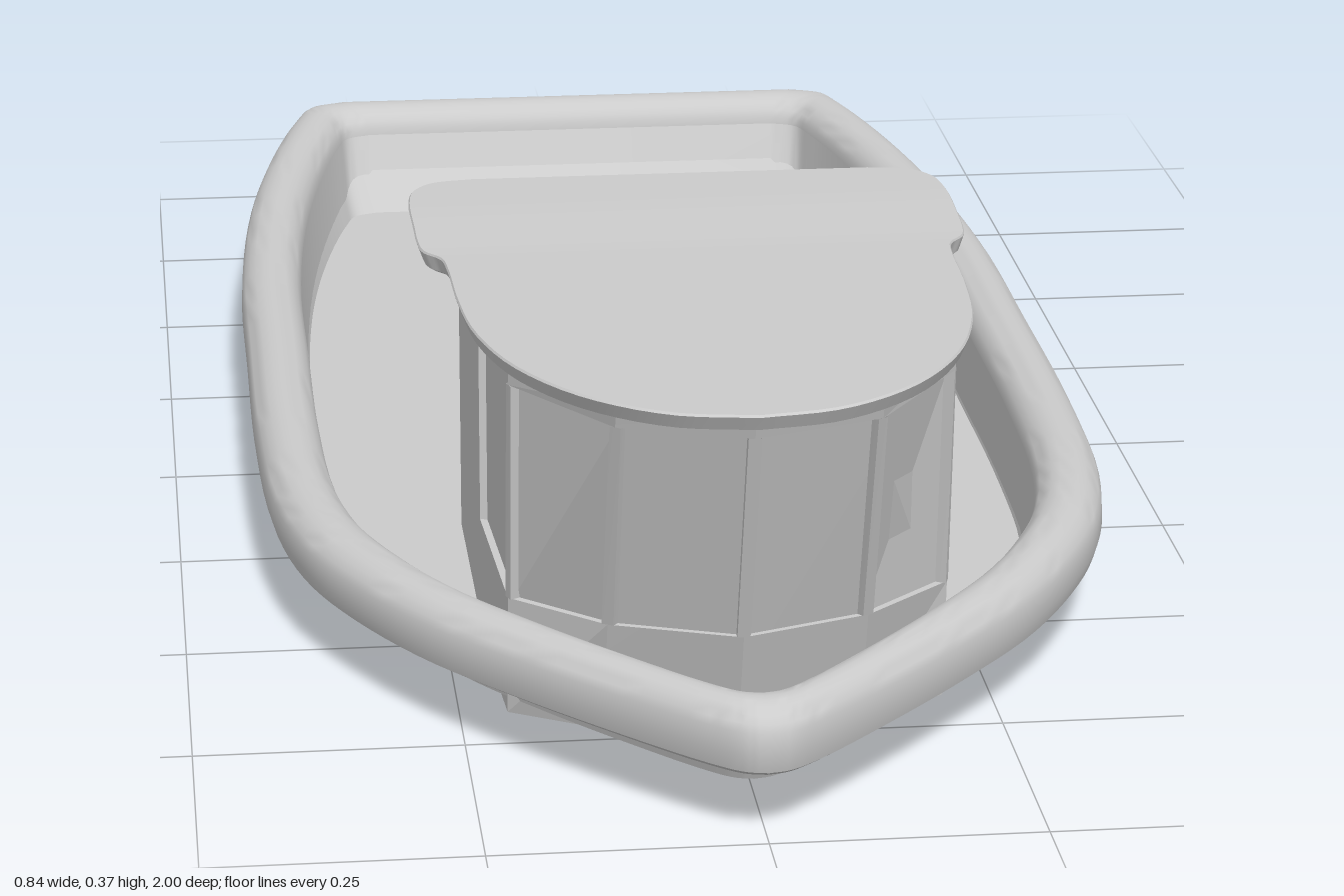
import * as THREE from 'three';
import { toCreasedNormals } from 'three/addons/utils/BufferGeometryUtils.js';

const material = new THREE.MeshStandardMaterial({ color: 0xcccccc, side: THREE.DoubleSide });
const V = (x, y, z) => new THREE.Vector3(x, y, z);

// Mesh from a list of triangles, smooth except at sharp edges
function meshFrom(name, tris, crease = 0.55) {
  const pos = [];
  for (const [a, b, c] of tris) {
    const area = b.clone().sub(a).cross(c.clone().sub(a)).length();
    if (area > 1e-9) for (const p of [a, b, c]) pos.push(p.x, p.y, p.z);
  }
  const geo = new THREE.BufferGeometry();
  geo.setAttribute('position', new THREE.Float32BufferAttribute(pos, 3));
  const mesh = new THREE.Mesh(toCreasedNormals(geo, crease), material);
  mesh.name = name;
  return mesh;
}

// Skin between closed rings that run clockwise seen from above
function loft(rings) {
  const tris = [];
  for (let r = 0; r + 1 < rings.length; r++) {
    const lo = rings[r], hi = rings[r + 1], n = lo.length;
    for (let i = 0; i < n; i++) {
      const j = (i + 1) % n;
      tris.push([lo[i], hi[i], lo[j]], [lo[j], hi[i], hi[j]]);
    }
  }
  return tris;
}

// Closed symmetric ring from a half outline [x, z] running back to front
function mirrorRing(half, fn) {
  const right = half.map(([x, z]) => fn(x, z));
  const left = half.slice(1, -1).reverse().map(([x, z]) => fn(-x, z));
  return [...right, ...left];
}

// Flat strips joining the two sides of a mirrored ring
function cap(ring, count, up) {
  const tris = [];
  const L = i => (i === 0 || i === count - 1 ? ring[i] : ring[ring.length - i]);
  for (let i = 0; i + 1 < count; i++) {
    const a = L(i), b = ring[i], c = L(i + 1), d = ring[i + 1];
    if (up) tris.push([a, c, b], [b, c, d]);
    else tris.push([a, b, c], [b, d, c]);
  }
  return tris;
}

function smoothHalf(points, start, divisions) {
  const curve = new THREE.CatmullRomCurve3(points.map(([x, z]) => V(x, 0, z)), false, 'centripetal');
  const half = curve.getPoints(divisions).map(p => [Math.max(0, p.x), p.z]);
  return [start, ...half];
}

// Hull: one gunwale outline scaled along a section profile
function buildHull() {
  const half = smoothHalf([
    [0.29, -1], [0.322, -0.985], [0.337, -0.945], [0.37, -0.8], [0.4, -0.6], [0.418, -0.35],
    [0.42, -0.1], [0.42, 0.15], [0.41, 0.37], [0.385, 0.5], [0.345, 0.6], [0.285, 0.705],
    [0.21, 0.8], [0.13, 0.89], [0.05, 0.972], [0.02, 0.995], [0, 1],
  ], [0, -1], 72);
  const ring = ([sx, sz, y, sheer = 0]) => mirrorRing(half, (x, z) => V(x * sx, y - sheer * z, z * sz));

  const bottom = [[0.825, 0.865, 0.01], [0.868, 0.928, 0.074]].map(ring);
  // Rubber rim: underside with a groove, then rounded over the top
  const rim = [[0.868, 0.928, 0.074], [0.885, 0.94, 0.074], [0.9, 0.95, 0.063, 0.005],
    [0.965, 0.982, 0.063, 0.005], [0.99, 0.995, 0.069, 0.004]];
  for (let i = 0; i <= 12; i++) {
    const a = (Math.PI * i) / 12;
    rim.push([0.9225 + 0.0775 * Math.cos(a), 0.965 + 0.035 * Math.cos(a), (i ? 0.095 : 0.082) + 0.031 * Math.sin(a)]);
  }
  const inside = [[0.845, 0.93, 0.095], [0.83, 0.89, 0.015]].map(ring);

  const hull = new THREE.Group();
  hull.name = 'hull';
  hull.add(
    meshFrom('hullBottom', [...loft(bottom), ...cap(bottom[0], half.length, false)]),
    meshFrom('gunwaleRim', loft(rim.map(ring))),
    meshFrom('bulwarkInside', loft(inside)),
    meshFrom('deck', cap(inside[1], half.length, true)),
  );
  return hull;
}

// Cabin plan, rear to front: [x, z at the foot, z at the top]
const plan = [
  [0.215, 0.21, 0.21], [0.215, 0.48, 0.48], [0.215, 0.482, 0.482],
  [0.205, 0.675, 0.72], [0.12, 0.725, 0.85], [0, 0.77, 0.892],
];
const TOP = 0.358, SILL = 0.12, HEAD = 0.337;

// Point on the cabin wall, moved inwards by t wall thicknesses
function wallPoint([x, z0, z1], y, t = 0) {
  const z = z0 + (z1 - z0) * (y / TOP);
  return V(x * (1 - 0.08 * t), y, z > 0.48 ? 0.48 + (z - 0.48) * (1 - 0.045 * t) : z);
}

function buildCabin() {
  const cabin = new THREE.Group();
  cabin.name = 'cabin';
  const full = [...plan, ...plan.slice(0, -1).reverse().map(([x, a, b]) => [-x, a, b])];

  // U-shaped wall, open at the back, with the window band set back
  const wallRing = ([y, inset]) => [
    ...full.map(p => wallPoint(p, y, p[1] > 0.481 ? inset : 0)),
    ...full.slice().reverse().map(p => wallPoint(p, y, 1)),
  ];
  cabin.add(meshFrom('cabinWall',
    loft([[0, 0], [SILL, 0], [SILL, 0.4], [HEAD, 0.4], [HEAD, 0], [TOP, 0]].map(wallRing)), 0.1));

  // Window posts on the corners between panes
  for (let i = 3; i < full.length - 3; i++) {
    const ring = y => {
      const p = wallPoint(full[i], y), q = wallPoint(full[i], y, 0.6);
      const along = wallPoint(full[i + 1], y).sub(wallPoint(full[i - 1], y)).setY(0).setLength(0.006);
      return [p.clone().sub(along), p.clone().add(along), q.clone().add(along), q.clone().sub(along)];
    };
    cabin.add(meshFrom('windowPost', loft([ring(SILL), ring(HEAD)]), 0.3));
  }

  // Floor plate, showing just below the hull
  const floorHalf = [[0, 0.21], ...plan.map(p => [p[0], p[1]])];
  const floor = [0, 0.0165].map(y => mirrorRing(floorHalf, (x, z) => V(x, y, z)));
  cabin.add(meshFrom('cabinFloor', [
    ...loft(floor), ...cap(floor[0], floorHalf.length, false), ...cap(floor[1], floorHalf.length, true),
  ], 0.3));

  // Roof: thin plate flaring upwards, slightly lower over the front
  const roofHalf = smoothHalf([
    [0.2, 0.187], [0.24, 0.196], [0.26, 0.22], [0.267, 0.26], [0.267, 0.34], [0.266, 0.38], [0.262, 0.405],
    [0.247, 0.428], [0.243, 0.46], [0.24, 0.56], [0.23, 0.66], [0.2, 0.76], [0.145, 0.845],
    [0.075, 0.897], [0, 0.913],
  ], [0, 0.187], 60);
  const roof = [[0.965, 0.355], [0.98, 0.357], [1, 0.371], [0.995, 0.373]].map(([s, y]) =>
    mirrorRing(roofHalf, (x, z) => V(x * s, y - 0.005 * THREE.MathUtils.smoothstep(z, 0.28, 0.42), 0.5 + (z - 0.5) * s)));
  cabin.add(meshFrom('roof', [
    ...loft(roof), ...cap(roof[0], roofHalf.length, false), ...cap(roof[3], roofHalf.length, true),
  ], 0.45));
  return cabin;
}

export function createModel() {
  const boat = new THREE.Group();
  boat.name = 'boat';
  boat.add(buildHull(), buildCabin());
  return boat;
}
